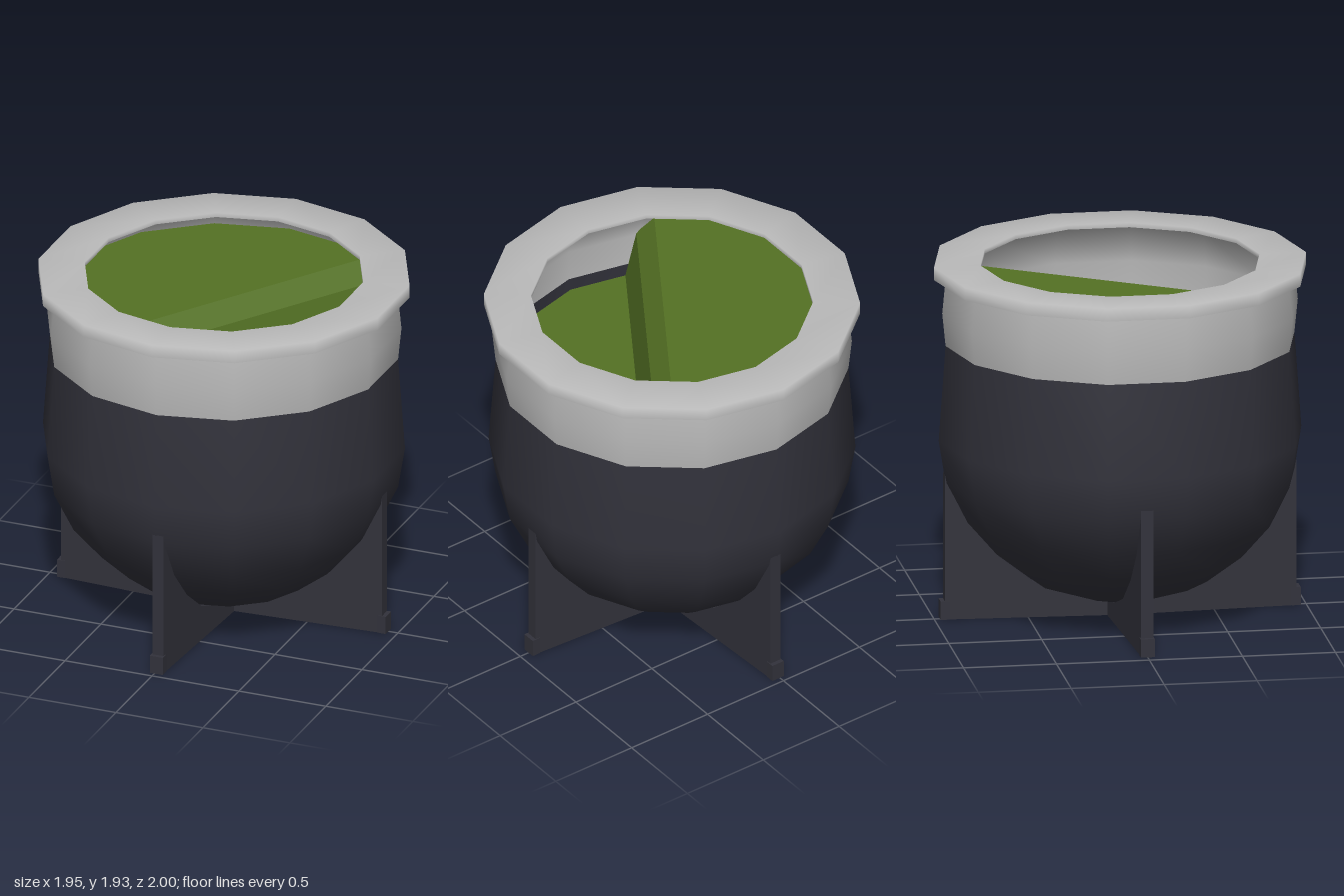
import * as THREE from 'three';

const SIDES = 14;

export function createModel() {
  const model = new THREE.Group();
  const material = (name, color, side = THREE.FrontSide) => {
    const m = new THREE.MeshStandardMaterial({ color, side });
    m.name = name;
    return m;
  };
  const charcoal = material('charcoal', 0x32323b, THREE.DoubleSide);
  const silver = material('silver', 0xbababa, THREE.DoubleSide);
  const green = material('leafGreen', 0x547124, THREE.DoubleSide);

  const add = (name, geometry, mat, parent = model) => {
    const mesh = new THREE.Mesh(geometry, mat);
    mesh.name = name;
    parent.add(mesh);
    return mesh;
  };
  const lathe = (points) =>
    new THREE.LatheGeometry(points.map(([r, y]) => new THREE.Vector2(r, y)), SIDES);

  // Rounded cup body
  const bowlCurve = [[0, 0.1], [0.245, 0.115], [0.481, 0.2], [0.675, 0.35],
    [0.83, 0.53], [0.938, 0.75], [0.975, 0.98]];
  add('bowl', lathe([...bowlCurve, [0.938, 1.5]]), charcoal);

  // Metal collar: bulging band, overhanging lip and inner wall
  const collar = new THREE.Group();
  collar.name = 'collar';
  model.add(collar);
  add('collarBand', lathe([[0.938, 1.5], [0.956, 1.68], [0.938, 1.865]]), silver, collar);
  add('lipUnderside', lathe([[0.938, 1.865], [1, 1.865]]), silver, collar);
  add('lip', lathe([[1, 1.865], [1, 1.935], [0.75, 1.935], [0.75, 1.91]]), silver, collar);
  add('collarInside', lathe([[0.75, 1.91], [0.9, 1.87], [0.925, 1.68], [0.925, 1.5]]), silver, collar);

  // Leaf filling: a 14-sided disc cut into bands across a diagonal step
  const filling = new THREE.Group();
  filling.name = 'filling';
  model.add(filling);
  const across = ([x, z]) => x * 0.84 + z * 0.542;
  const disc = Array.from({ length: SIDES }, (_, i) => {
    const a = (i / SIDES) * Math.PI * 2;
    return [0.91 * Math.sin(a), 0.91 * Math.cos(a)];
  });
  const clip = (poly, limit, sign) => {
    const out = [];
    poly.forEach((p, i) => {
      const q = poly[(i + 1) % poly.length];
      const a = (across(p) - limit) * sign;
      const b = (across(q) - limit) * sign;
      if (a >= 0) out.push(p);
      if (a * b < 0) {
        const t = a / (a - b);
        out.push([p[0] + (q[0] - p[0]) * t, p[1] + (q[1] - p[1]) * t]);
      }
    });
    return out;
  };
  const HOLE = { x: 0.4, z: 0.23, r: 0.085, depth: 0.3 };
  const bands = [
    ['upperLeaves', -1, 0.04, 1.8, 1.8],
    ['shoulder', 0.04, 0.136, 1.8, 1.7],
    ['stepFace', 0.136, 0.195, 1.7, 1.44],
    ['lowerLeaves', 0.195, 1, 1.44, 1.44],
  ];
  for (const [name, s0, s1, y0, y1] of bands) {
    const poly = clip(clip(disc, s0, 1), s1, -1);
    const shape = new THREE.Shape(poly.map(([x, z]) => new THREE.Vector2(x, -z)));
    if (name === 'lowerLeaves') {
      shape.holes.push(new THREE.Path().absarc(HOLE.x, -HOLE.z, HOLE.r, 0, Math.PI * 2, true));
    }
    const geo = new THREE.ShapeGeometry(shape, 10).rotateX(-Math.PI / 2);
    const pos = geo.attributes.position;
    for (let i = 0; i < pos.count; i++) {
      const t = (across([pos.getX(i), pos.getZ(i)]) - s0) / (s1 - s0);
      pos.setY(i, y0 + (y1 - y0) * t);
    }
    geo.computeVertexNormals();
    add(name, geo, green, filling);
  }

  // Slanted straw hole sunk into the lower leaves
  const slant = new THREE.Matrix4().makeShear(0, 0, -0.2, -0.12, 0, 0);
  const wall = new THREE.CylinderGeometry(HOLE.r, HOLE.r, HOLE.depth, 20, 4, true)
    .translate(0, -HOLE.depth / 2, 0).applyMatrix4(slant);
  const floor = new THREE.CircleGeometry(HOLE.r, 20).rotateX(-Math.PI / 2)
    .translate(0, -HOLE.depth, 0).applyMatrix4(slant);
  add('strawHoleWall', wall, green, filling).position.set(HOLE.x, 1.44, HOLE.z);
  add('strawHoleFloor', floor, green, filling).position.set(HOLE.x, 1.44, HOLE.z);

  // Crossed stand: four fins that follow the bowl and thin out towards their ends
  const finShape = new THREE.Shape([
    [0, 0], [0.945, 0], [0.945, 0.8], [0.935, 0.75], [0.815, 0.52],
    [0.66, 0.34], [0.475, 0.195], [0.24, 0.112], [0, 0.1],
  ].map(([x, y]) => new THREE.Vector2(x, y)));
  const finGeo = new THREE.ExtrudeGeometry(finShape, { depth: 1, bevelEnabled: false })
    .translate(0, 0, -0.5);
  const finPos = finGeo.attributes.position;
  for (let i = 0; i < finPos.count; i++) {
    finPos.setZ(i, finPos.getZ(i) * (0.165 - 0.105 * finPos.getX(i)));
  }
  finGeo.computeVertexNormals();
  const footGeo = new THREE.BoxGeometry(0.05, 0.1, 0.075).translate(0.943, 0.05, 0);

  const stand = new THREE.Group();
  stand.name = 'stand';
  model.add(stand);
  for (let i = 0; i < 4; i++) {
    const leg = new THREE.Group();
    leg.name = 'leg' + (i + 1);
    leg.rotation.y = (i * Math.PI) / 2;
    if (i % 2) leg.position.x = 0.012;
    else leg.scale.x = 0.976;
    add('fin', finGeo, charcoal, leg);
    add('foot', footGeo, charcoal, leg);
    stand.add(leg);
  }

  return model;
}
